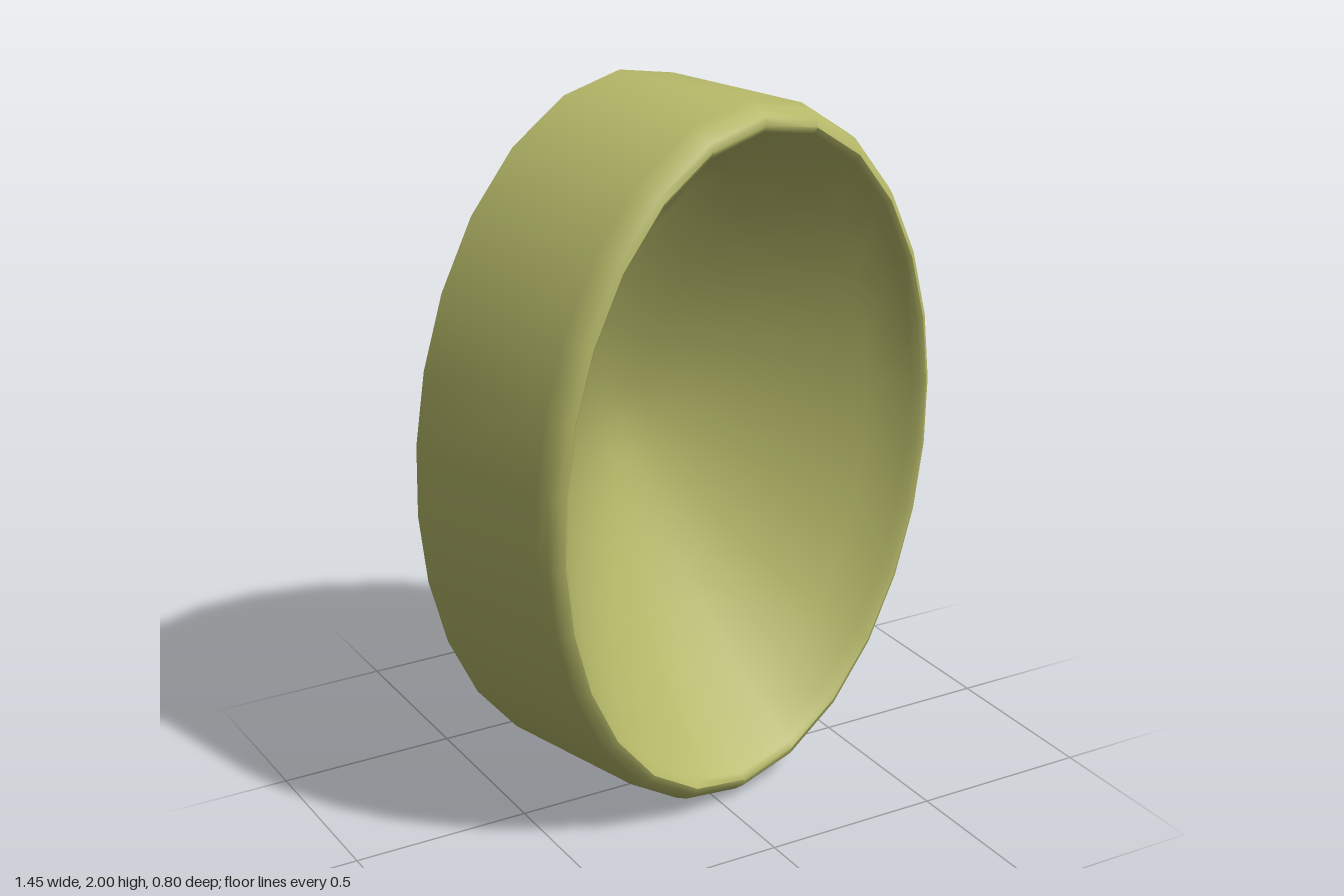
import * as THREE from 'three';
import { toCreasedNormals } from 'three/addons/utils/BufferGeometryUtils.js';

export function createModel() {
  const group = new THREE.Group();
  const material = new THREE.MeshStandardMaterial({ color: 0xb5b868 });

  // Profile of the dish: flat back, straight wall, rounded rim, deep hollow bowl
  const profile = [
    [0, 0], [1, 0], [1, 0.46], [0.988, 0.495], [0.967, 0.52], [0.945, 0.528], [0.927, 0.518], [0.915, 0.495],
  ].map(([r, t]) => new THREE.Vector2(r, t));
  const bowlDepth = 0.465, rings = 8;
  for (let i = 1; i <= rings; i++) {
    const s = 1 - i / rings;
    profile.push(new THREE.Vector2(0.915 * s, 0.495 - bowlDepth * (1 - s ** 1.6)));
  }
  const geometry = new THREE.LatheGeometry(profile, 26);

  // Crowd the corners towards the long sides of the oval
  const pos = geometry.attributes.position;
  for (let i = 0; i < pos.count; i++) {
    const x = pos.getX(i), z = pos.getZ(i), r = Math.hypot(x, z);
    const a = Math.atan2(x, z), b = a + 0.08 * Math.sin(2 * a);
    pos.setX(i, r * Math.sin(b));
    pos.setZ(i, r * Math.cos(b));
  }

  // Oval section, turned sideways and leaning slightly forward
  const width = new THREE.Vector3(0.67, 0, -0.136);
  const depth = new THREE.Vector3(0.245, 0.012, 1);
  const height = new THREE.Vector3(0, -0.995, -0.038);
  geometry.applyMatrix4(new THREE.Matrix4().makeBasis(width, depth, height).setPosition(-0.06, 0.997, -0.258));

  const dish = new THREE.Mesh(toCreasedNormals(geometry, 0.9), material);
  dish.name = 'ovalDish';
  group.add(dish);
  return group;
}
